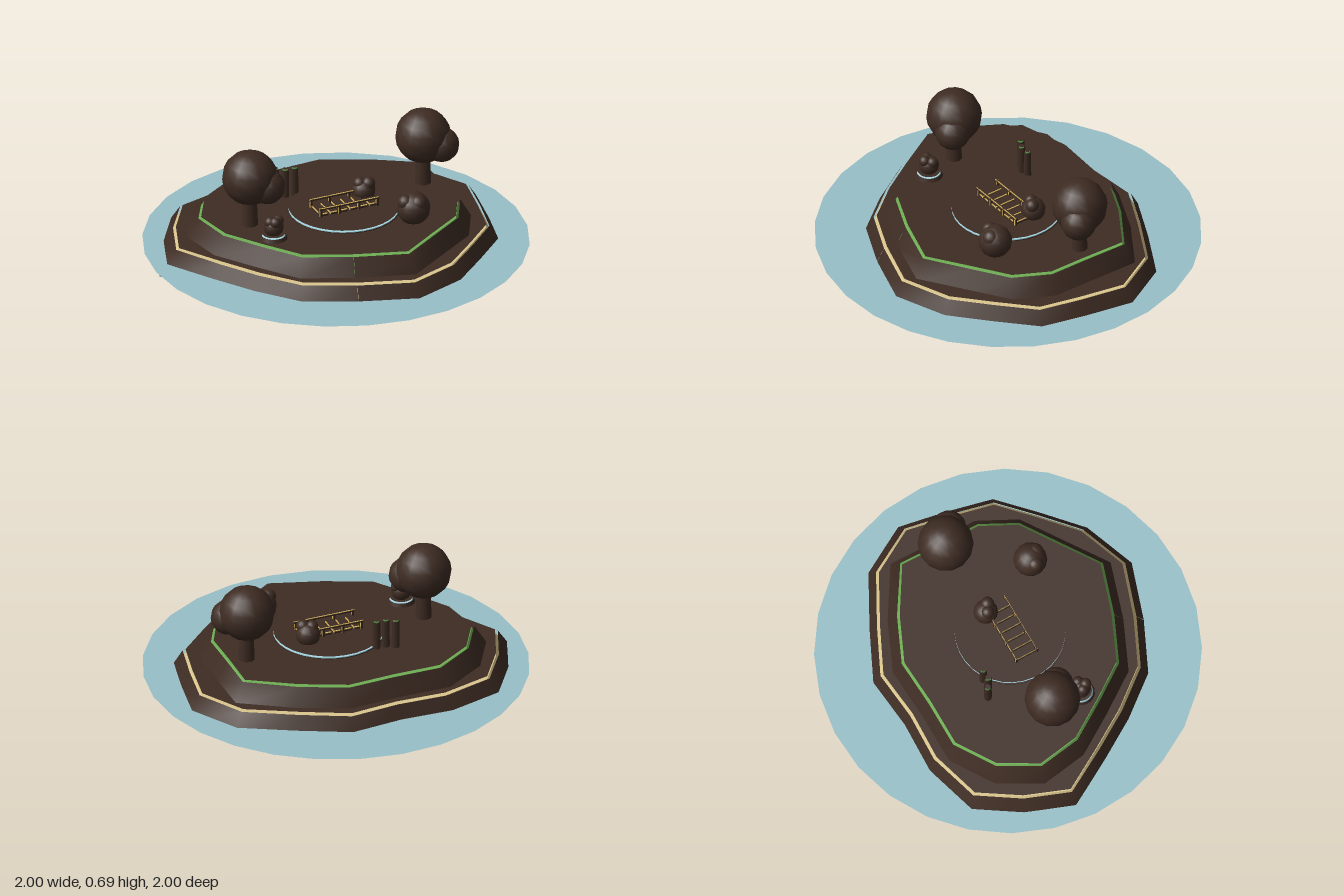
import * as THREE from 'three';

const mat = (name, color, side = THREE.FrontSide) => {
  const m = new THREE.MeshStandardMaterial({ color, side });
  m.name = name;
  return m;
};
const SHELL = mat('dark outline brown', 0x3e2c23);
const WATER = mat('water blue', 0x98c0c9, THREE.DoubleSide);
const SAND = mat('sand', 0xdcc78e);
const GRASS = mat('grass green', 0x6fb055);
const POND = mat('pond blue', 0xa6d8e4);
const LEAF = mat('leaf green', 0x4f8a45);
const WOOD = mat('plank yellow', 0xd9b75f);

// Radius of each island layer per segment, starting at +z and turning towards +x
const BEACH = [.72, .783, .731, .679, .708, .70, .775, .776, .706, .715, .651, .712, .777, .753, .776, .679, .669, .716];
const MEADOW = [.55, .608, .52, .526, .521, .517, .61, .553, .55, .508, .566, .576, .578, .542, .51, .554];

export function createModel() {
  const model = new THREE.Group();
  model.name = 'island';

  const group = (name, parent = model) => {
    const g = new THREE.Group();
    g.name = name;
    parent.add(g);
    return g;
  };

  // A coloured part inside a dark shell pushed out along its normals
  const part = (parent, name, geo, material, thick = 0.008) => {
    const shell = geo.clone();
    const p = shell.attributes.position, n = shell.attributes.normal;
    for (let i = 0; i < p.count; i++) {
      p.setXYZ(i, p.getX(i) + n.getX(i) * thick, p.getY(i) + n.getY(i) * thick, p.getZ(i) + n.getZ(i) * thick);
    }
    for (const [g, m, label] of [[geo, material, name], [shell, SHELL, name + 'Shell']]) {
      const mesh = new THREE.Mesh(g, m);
      mesh.name = label;
      parent.add(mesh);
    }
  };
  const ball = (parent, name, r, x, y, z, segs = 14) =>
    part(parent, name, new THREE.SphereGeometry(r - 0.006, segs, 10).translate(x, y, z), LEAF, 0.006);
  const drum = (parent, name, rTop, rBottom, y0, y1, x, z, material, thick, segs = 24) =>
    part(parent, name, new THREE.CylinderGeometry(rTop, rBottom, y1 - y0, segs)
      .translate(x, (y0 + y1) / 2, z), material, thick);

  // Irregular tapered island layer
  const layer = (name, radii, top, bottom, stretch, y0, y1, material, thick) => {
    const n = radii.length;
    const geo = new THREE.CylinderGeometry(top, bottom, y1 - y0, n);
    const p = geo.attributes.position;
    for (let i = 0; i < p.count; i++) {
      const x = p.getX(i), z = p.getZ(i);
      const k = (Math.round(Math.atan2(x, z) / (2 * Math.PI) * n) + n) % n;
      p.setX(i, x * radii[k] * stretch);
      p.setZ(i, z * radii[k]);
    }
    geo.translate(0, (y0 + y1) / 2, 0);
    geo.computeVertexNormals();
    part(model, name, geo, material, thick);
  };

  // Water surface
  const water = new THREE.Mesh(new THREE.CircleGeometry(1, 28).rotateX(-Math.PI / 2), WATER);
  water.name = 'water';
  water.position.y = 0.09;
  model.add(water);

  // Ground
  layer('beach', BEACH, 0.925, 1.025, 1.19, 0.018, 0.154, SAND, 0.018);
  layer('meadow', MEADOW, 1, 1.1, 1.22, 0.15, 0.262, GRASS, 0.016);

  // Pond with a lily pad
  drum(model, 'pond', 0.286, 0.286, 0.265, 0.283, 0.037, 0.02, POND, 0.008, 32);
  drum(model, 'lilyPad', 0.045, 0.045, 0.284, 0.29, 0.095, 0.155, LEAF, 0.004, 12);

  // Trees
  for (const [x, z, dx, dz] of [[-0.47, 0.12, 0.085, 0.04], [0.49, -0.21, 0.09, 0.04]]) {
    const tree = group('tree');
    drum(tree, 'trunk', 0.029, 0.037, 0.265, 0.46, x, z, WOOD, 0.006, 10);
    ball(tree, 'canopy', 0.145, x, 0.547, z);
    ball(tree, 'sideCanopy', 0.092, x + dx, 0.507, z + dz);
  }

  // Bushes
  const bush = group('bush');
  ball(bush, 'body', 0.088, 0.37, 0.347, 0.21);
  ball(bush, 'topLeaf', 0.042, 0.325, 0.39, 0.225);
  ball(bush, 'topLeaf', 0.046, 0.39, 0.385, 0.24);
  const pondBush = group('pondBush');
  ball(pondBush, 'body', 0.064, 0.155, 0.325, -0.08);
  ball(pondBush, 'topLeaf', 0.034, 0.135, 0.367, -0.075);
  ball(pondBush, 'topLeaf', 0.036, 0.18, 0.368, -0.065);

  // Planter by the tree
  const planter = group('planter');
  drum(planter, 'planterRim', 0.058, 0.067, 0.27, 0.295, -0.375, 0.294, POND, 0.008, 18);
  ball(planter, 'plant', 0.052, -0.375, 0.34, 0.294);
  for (const [x, y, z] of [[-0.395, 0.37, 0.3], [-0.35, 0.37, 0.285], [-0.37, 0.375, 0.32]]) {
    ball(planter, 'blossom', 0.03, x, y, z);
  }

  // Row of tall posts
  const posts = group('posts');
  [-0.288, -0.238, -0.188].forEach((x, i) =>
    drum(posts, 'post', 0.014, 0.015, 0.27, 0.432, x, i === 1 ? -0.165 : -0.178, LEAF, 0.006, 8));

  // Plank bridge with railings
  const bridge = group('bridge');
  bridge.position.set(0.037, 0, 0.025);
  bridge.rotation.y = 0.276;
  const box = (name, w, h, d, x, y, z, thick) =>
    part(bridge, name, new THREE.BoxGeometry(w, h, d).translate(x, y, z), WOOD, thick);
  for (let i = 0; i < 6; i++) box('plank', 0.042, 0.01, 0.12, (i - 2.5) * 0.056, 0.3, 0, 0.005);
  for (const z of [-0.06, 0.06]) {
    box('rail', 0.34, 0.008, 0.008, 0, 0.334, z, 0.004);
    for (const x of [-0.16, -0.055, 0.055, 0.16]) box('railPost', 0.012, 0.06, 0.012, x, 0.31, z, 0.004);
  }
  return model;
}
